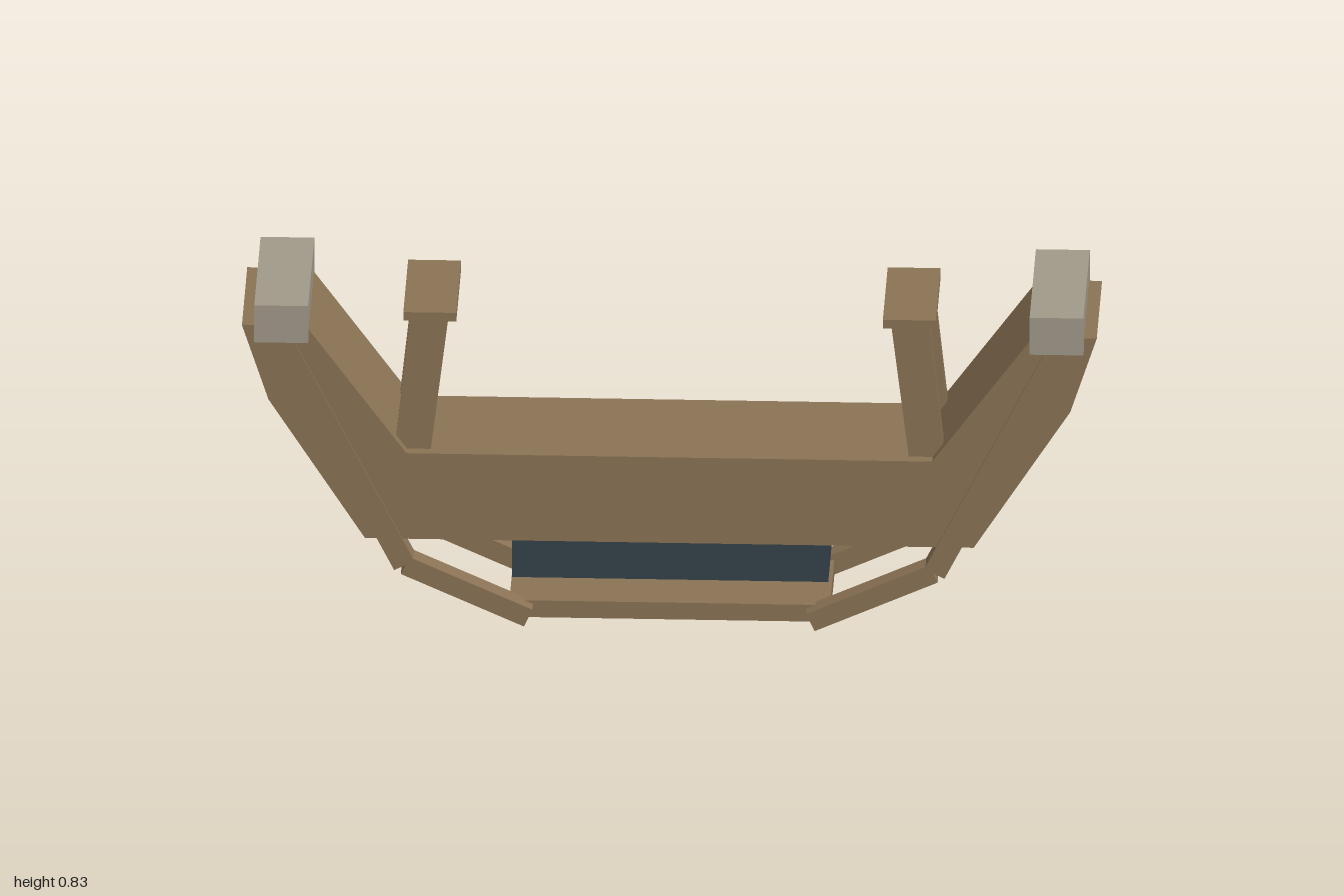
import * as THREE from 'three';

const wood = new THREE.MeshStandardMaterial({ color: 0x8b7355 });
wood.name = 'wood brown';
const dark = new THREE.MeshStandardMaterial({ color: 0x33414a });
dark.name = 'dark slate';
const grey = new THREE.MeshStandardMaterial({ color: 0xa09a8a });
grey.name = 'warm grey';

export function createModel() {
  const model = new THREE.Group();
  model.name = 'cradle';

  function add(name, geometry, material, x = 0, y = 0, z = 0) {
    const mesh = new THREE.Mesh(geometry, material);
    mesh.name = name;
    mesh.position.set(x, y, z);
    model.add(mesh);
    return mesh;
  }

  // box given by its limits
  function box(name, material, x0, x1, y0, y1, z0, z1) {
    return add(name, new THREE.BoxGeometry(x1 - x0, y1 - y0, z1 - z0), material,
      (x0 + x1) / 2, (y0 + y1) / 2, (z0 + z1) / 2);
  }

  // bar running between two points of the xy plane
  function beam(name, x0, y0, x1, y1, width, depth, z) {
    const length = Math.hypot(x1 - x0, y1 - y0);
    const mesh = add(name, new THREE.BoxGeometry(length, width, depth), wood,
      (x0 + x1) / 2, (y0 + y1) / 2, z);
    mesh.rotation.z = Math.atan2(y1 - y0, x1 - x0);
  }

  // flat outline extruded from z0 to z1
  function slab(name, material, points, z0, z1) {
    const shape = new THREE.Shape(points.map(([x, y]) => new THREE.Vector2(x, y)));
    const geometry = new THREE.ExtrudeGeometry(shape, { depth: z1 - z0, bevelEnabled: false });
    return add(name, geometry, material, 0, 0, z0);
  }

  // main body with two raised arms
  const half = [[0.712, 0.222], [0.938, 0.575], [1, 0.765], [0.85, 0.765], [0.615, 0.442]];
  const mirrored = half.map(([x, y]) => [-x, y]).reverse();
  slab('body', wood, [...half, ...mirrored], -0.162, 0.162);

  // hanging box and the bottom plate below it
  box('hangingBox', dark, -0.37, 0.37, 0.105, 0.2, -0.112, 0.112);
  box('bottomPlate', wood, -0.375, 0.375, 0.013, 0.056, -0.135, 0.135);

  // dark strip along the back
  box('backStrip', dark, -0.66, 0.66, 0.3, 0.385, -0.165, -0.158);

  for (const s of [1, -1]) {
    // end cap on the arm
    box('endCap', grey, s * 0.907 - 0.063, s * 0.907 + 0.063, 0.735, 0.83, -0.192, 0.192);

    // frame rails, front and back
    for (const z of [0.142, -0.142]) {
      beam('upperRail', s * 0.62, 0.155, s * 0.917, 0.745, 0.053, 0.05, z);
      beam('lowerRail', s * 0.618, 0.155, s * 0.33, 0.025, 0.048, 0.05, z);
    }

    // handle: two leaning posts and a top board
    for (const z of [0.118, -0.118]) {
      const post = [[0.644, 0.435], [0.607, 0.78], [0.518, 0.78], [0.56, 0.435]];
      slab('handlePost', wood, post.map(([x, y]) => [s * x, y]), z - 0.0175, z + 0.0175);
    }
    box('handleTop', wood, s * 0.561 - 0.062, s * 0.561 + 0.062, 0.776, 0.798, -0.147, 0.147);

    // dark wedge on the back of the arm
    const wedge = [[0.765, 0.645], [0.713, 0.46], [0.63, 0.46]];
    slab('backWedge', dark, wedge.map(([x, y]) => [s * x, y]), -0.165, -0.158);

    // joint plate with four bolts
    box('jointPlate', wood, s * 0.677 - 0.082, s * 0.677 + 0.082, 0.292, 0.467, -0.183, -0.16);
    for (const dx of [-0.05, 0.05]) {
      for (const y of [0.322, 0.437]) {
        const bolt = add('bolt', new THREE.CylinderGeometry(0.008, 0.008, 0.012, 10), wood,
          s * 0.677 + dx, y, -0.185);
        bolt.rotation.x = Math.PI / 2;
      }
    }
  }
  return model;
}
